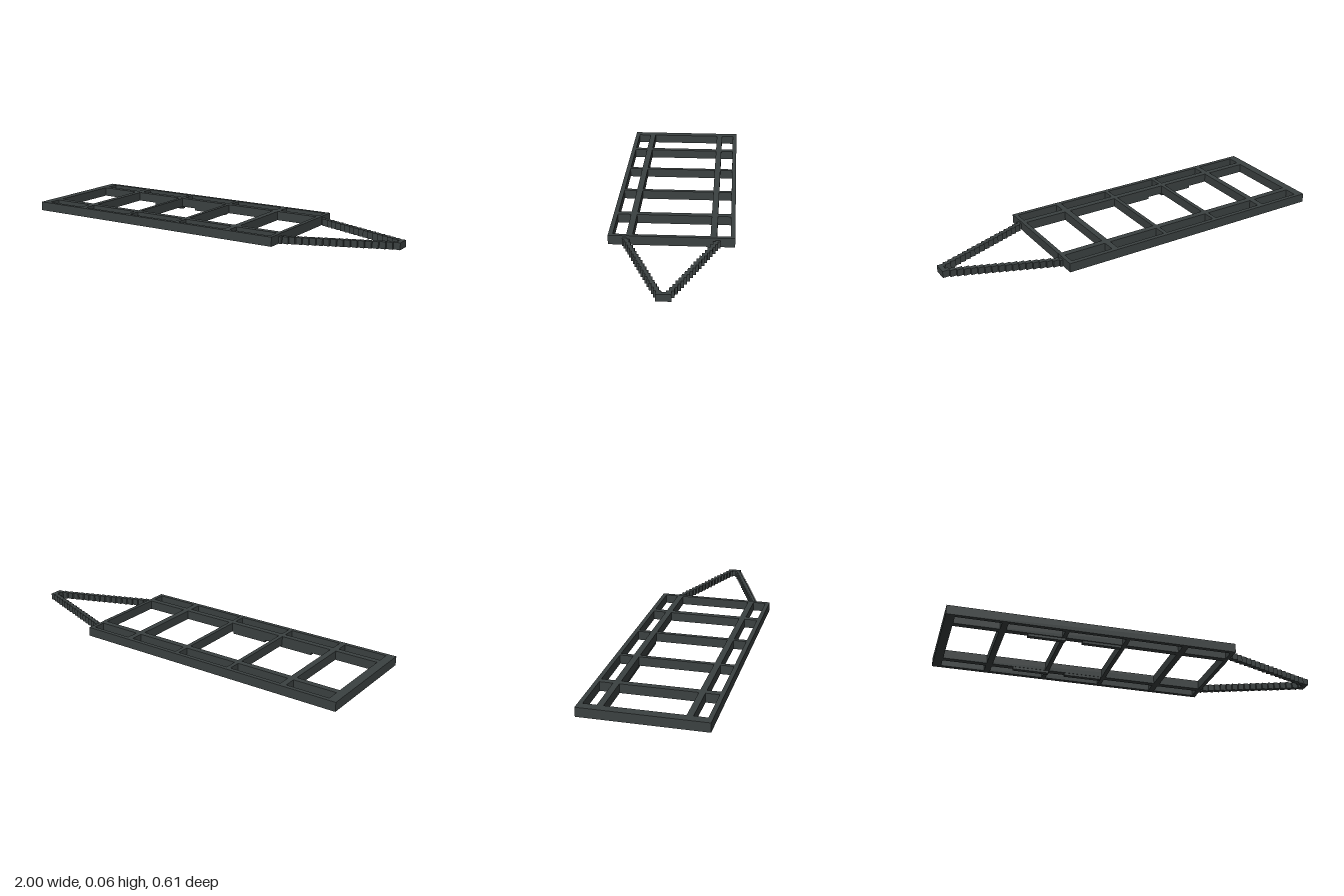
import * as THREE from 'three';

export function createModel() {
  const model = new THREE.Group();
  model.name = 'trailerFrame';
  const steel = new THREE.MeshStandardMaterial({ color: 0x3b4141 });
  steel.name = 'darkSteel';

  // Box given by its limits on each axis
  const bar = (name, x0, x1, y0, y1, z0, z1) => {
    const mesh = new THREE.Mesh(new THREE.BoxGeometry(x1 - x0, y1 - y0, z1 - z0), steel);
    mesh.position.set((x0 + x1) / 2, (y0 + y1) / 2, (z0 + z1) / 2);
    mesh.name = name;
    model.add(mesh);
  };
  // Same box on both sides of the centre line
  const pair = (name, x0, x1, y0, y1, z0, z1) => {
    bar(name + 'Front', x0, x1, y0, y1, z0, z1);
    bar(name + 'Back', x0, x1, y0, y1, -z1, -z0);
  };

  const low = 0.013, high = 0.06, front = 0.463;

  // Long rails
  pair('outerRail', -1, front, low, high, 0.285, 0.307);
  pair('innerRail', -0.98, front - 0.002, low, high, 0.188, 0.219);

  // End beam and cross members, split between the rails so faces never overlap
  const beams = [[-1, -0.955], [-0.73, -0.699], [-0.42, -0.399], [-0.111, -0.09], [0.184, 0.215], [0.442, front]];
  beams.forEach(([x0, x1], i) => {
    bar('crossMember' + i, x0, x1, low, high, -0.188, 0.188);
    pair('outrigger' + i, x0, x1, low, high, 0.219, 0.285);
  });
  pair('endBeamCap', -1, -0.98, low, high, 0.188, 0.219);

  // Spring mounting pads under the inner rails
  for (const [x0, x1] of [[-0.59, -0.4], [-0.315, -0.115]]) {
    pair('mountingPad', x0, x1, 0, low, 0.19, 0.213);
  }

  // Stepped drawbar arms closing to the hitch
  const steps = 18;
  for (let i = 0; i < steps; i++) {
    const x = 0.46 + i * 0.0306, z = 0.237 - i * 0.0119;
    pair('drawbarStep' + i, x - 0.0165, Math.min(x + 0.0165, 1), low, 0.048, z - 0.024, z);
  }
  bar('hitchBar', 0.977, 1, low, 0.048, -0.035, 0.035);

  return model;
}
